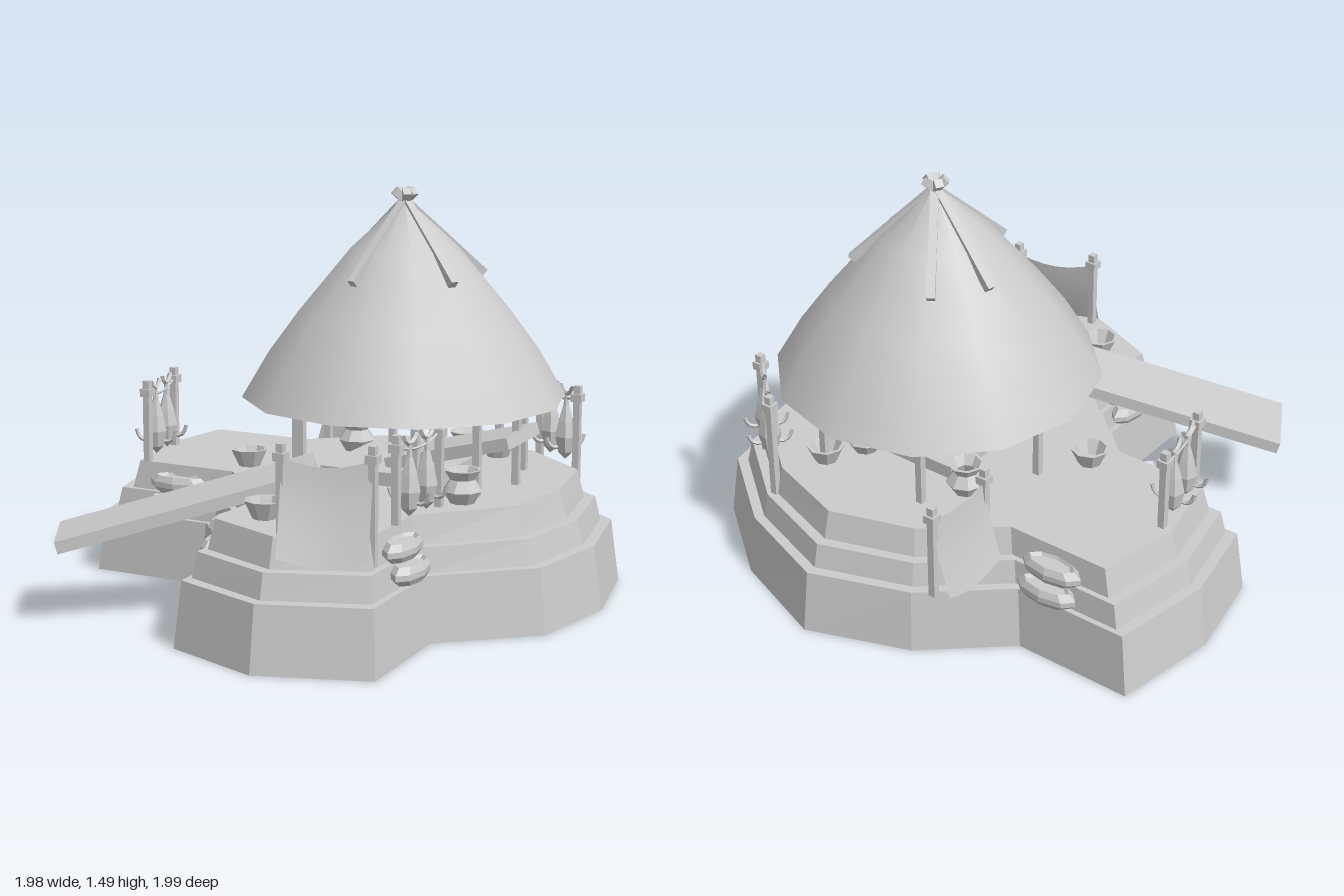
import * as THREE from 'three';

const CX = 0.2, CZ = -0.21, DECK = 0.43;
const mat = new THREE.MeshStandardMaterial({ color: 0xcccccc, flatShading: true, side: THREE.DoubleSide });
const smooth = new THREE.MeshStandardMaterial({ color: 0xcccccc, side: THREE.DoubleSide });
const V = (x, y, z) => new THREE.Vector3(x, y, z);

function add(parent, name, geo, material = mat) {
  const m = new THREE.Mesh(geo, material);
  m.name = name;
  parent.add(m);
  return m;
}

function group(parent, name) {
  const g = new THREE.Group();
  g.name = name;
  parent.add(g);
  return g;
}

// square bar between two points
function bar(parent, name, a, b, w, d = w) {
  const m = add(parent, name, new THREE.BoxGeometry(w, d, a.distanceTo(b)));
  m.position.copy(a).add(b).multiplyScalar(0.5);
  m.lookAt(b);
  return m;
}

function lathe(parent, name, pts, sides) {
  return add(parent, name, new THREE.LatheGeometry(pts.map(p => new THREE.Vector2(...p)), sides));
}

// platform outline around the hut centre, at the ground and at the deck
const GROUND = [[0, -0.79], [0.39, -0.65], [0.715, -0.4], [0.79, 0], [0.715, 0.365], [0.395, 0.63], [0.395, 1.07], [0, 1.2],
  [-0.365, 1.07], [-0.365, 0.63], [-0.67, 0.365], [-1.12, 0.365], [-1.19, 0], [-1.12, -0.4], [-0.67, -0.4], [-0.38, -0.65]];
const TOP = [[0, -0.63], [0.31, -0.53], [0.57, -0.32], [0.62, 0], [0.57, 0.29], [0.295, 0.57], [0.295, 0.91], [0, 1.03],
  [-0.29, 0.91], [-0.29, 0.57], [-0.57, 0.29], [-0.97, 0.29], [-1.03, 0], [-0.97, -0.32], [-0.57, -0.32], [-0.31, -0.53]];
const outline = t => GROUND.map((p, i) => [CX + p[0] + (TOP[i][0] - p[0]) * t, CZ + p[1] + (TOP[i][1] - p[1]) * t]);

// one sloped step: wall strip plus a flat cap
function tier(parent, name, t0, y0, t1, y1) {
  const g = group(parent, name), a = outline(t0), b = outline(t1), n = a.length, pos = [], idx = [];
  for (let i = 0; i < n; i++) {
    pos.push(a[i][0], y0, a[i][1], b[i][0], y1, b[i][1]);
    const j = (i + 1) % n;
    idx.push(2 * i, 2 * i + 1, 2 * j, 2 * j, 2 * i + 1, 2 * j + 1);
  }
  const wall = new THREE.BufferGeometry();
  wall.setAttribute('position', new THREE.Float32BufferAttribute(pos, 3));
  wall.setIndex(idx);
  wall.computeVertexNormals();
  add(g, 'stepWall', wall);
  const cap = new THREE.ShapeGeometry(new THREE.Shape(b.map(p => new THREE.Vector2(p[0], -p[1]))));
  add(g, 'stepTop', cap.rotateX(-Math.PI / 2).translate(0, y1, 0));
}

// post with a collar near its top
function post(parent, x, z, y0, y1) {
  bar(parent, 'post', V(x, y0, z), V(x, y1, z), 0.026);
  const c = add(parent, 'postCollar', new THREE.BoxGeometry(0.042, 0.03, 0.042));
  c.position.set(x, y1 - 0.045, z);
}

// sagging rope
function rope(parent, a, b, sag) {
  const mid = a.clone().lerp(b, 0.5);
  mid.y -= sag * 2;
  add(parent, 'rope', new THREE.TubeGeometry(new THREE.QuadraticBezierCurve3(a, mid, b), 8, 0.005, 4));
}

// fish hung by the tail, tail fin in its local xy plane
function fish(parent, x, y, z, turn) {
  const g = group(parent, 'hangingFish');
  lathe(g, 'fishBody', [[0, -0.25], [0.03, -0.22], [0.043, -0.16], [0.03, -0.1], [0.012, -0.04], [0.007, 0.01]], 6);
  const tail = add(g, 'fishTail', new THREE.TorusGeometry(0.045, 0.009, 4, 6, Math.PI * 0.8));
  tail.rotation.z = Math.PI * 1.1;
  tail.position.y = 0.05;
  for (const s of [-1, 1]) {
    const fin = add(g, 'fishFin', new THREE.TubeGeometry(new THREE.QuadraticBezierCurve3(
      V(0, -0.2, s * 0.03), V(0, -0.21, s * 0.07), V(0, -0.16, s * 0.08)), 4, 0.008, 4));
    fin.scale.x = 0.7;
  }
  g.position.set(x, y, z);
  g.rotation.y = turn;
}

function rack(parent, a, b, y0) {
  const g = group(parent, 'fishRack');
  post(g, ...a, y0, 0.74);
  post(g, ...b, y0, 0.74);
  rope(g, V(a[0], 0.7, a[1]), V(b[0], 0.7, b[1]), 0.03);
  const turn = -Math.atan2(b[1] - a[1], b[0] - a[0]);
  for (const t of [0.3, 0.7])
    fish(g, a[0] + (b[0] - a[0]) * t, 0.69, a[1] + (b[1] - a[1]) * t, turn);
}

// cloth between two posts, swinging outwards toward its hem
function cloth(parent, a, b, out, y0, yTop, yHem) {
  const g = group(parent, 'clothScreen');
  post(g, ...a, y0, yTop + 0.05);
  post(g, ...b, y0, yTop + 0.05);
  const geo = new THREE.PlaneGeometry(1, 1, 6, 5), p = geo.attributes.position;
  for (let i = 0; i < p.count; i++) {
    const u = p.getX(i) + 0.5, v = 0.5 - p.getY(i), s = Math.sin(Math.PI * u), k = Math.pow(v, 1.4);
    p.setXYZ(i, a[0] + (b[0] - a[0]) * u + out[0] * k, yTop + (yHem - yTop) * v - 0.03 * s,
      a[1] + (b[1] - a[1]) * u + out[1] * k);
  }
  geo.computeVertexNormals();
  add(g, 'cloth', geo, smooth);
}

// two stacked oval bundles leaning on the steps
function bundles(parent, x, z, outX, outZ) {
  const g = group(parent, 'ovalBundles');
  for (const [y, o] of [[0.29, 0.015], [0.365, -0.015]]) {
    const m = lathe(g, 'ovalBundle', [[0, -0.035], [0.09, -0.033], [0.122, -0.01], [0.122, 0.01], [0.095, 0.033], [0.08, 0.022], [0, 0.022]], 8);
    m.position.set(x + outX * o, y, z + outZ * o);
    m.scale.set(outX ? 0.42 : 1, 1, outZ ? 0.42 : 1);
  }
}

const BOWL = [[0, 0], [0.042, 0], [0.072, 0.065], [0.06, 0.065], [0.036, 0.012], [0, 0.012]];
const POT = [[0, 0], [0.045, 0], [0.072, 0.045], [0.045, 0.085], [0.068, 0.12], [0.056, 0.12], [0.034, 0.085], [0.05, 0.045], [0, 0.015]];

export function createModel() {
  const root = new THREE.Group();
  root.name = 'thatchedHut';

  // stepped platform
  const base = group(root, 'platform');
  tier(base, 'lowerStep', 0, 0, 0.2, 0.235);
  tier(base, 'middleStep', 0.45, 0.235, 0.58, 0.325);
  tier(base, 'upperStep', 0.83, 0.325, 1, DECK);

  // roof and the poles crossing at its peak
  const roof = lathe(root, 'roof', [[0.6, 0.72], [0.5, 0.89], [0.39, 1.04], [0.2, 1.27], [0.005, 1.45]], 12);
  roof.material = smooth;
  roof.position.set(CX, 0, CZ);
  const poles = group(root, 'roofPoles');
  for (const deg of [30, 104, 193, 235, 322]) {
    const c = Math.cos(deg * Math.PI / 180), s = Math.sin(deg * Math.PI / 180);
    bar(poles, 'roofPole', V(CX + 0.3 * c, 1.17, CZ + 0.3 * s), V(CX - 0.04 * c, 1.48, CZ - 0.04 * s), 0.03);
  }

  // posts under the eaves
  const posts = group(root, 'roofPosts');
  for (const deg of [0, 30, 60, 120, 180, 240, 300, 330]) {
    const a = deg * Math.PI / 180, x = CX + 0.45 * Math.cos(a), z = CZ + 0.45 * Math.sin(a);
    bar(posts, 'roofPost', V(x, DECK, z), V(x, 0.8, z), 0.026);
  }

  // planks and floor slab
  bar(root, 'rampPlank', V(-0.7, 0.297, 0.745), V(0.095, 0.542, 0.3), 0.286, 0.045);
  bar(root, 'innerPlank', V(0.2, 0.49, -0.2), V(0.68, 0.615, -0.2), 0.3, 0.045);
  add(root, 'floorSlab', new THREE.BoxGeometry(0.45, 0.05, 0.46)).position.set(CX, DECK + 0.025, -0.2);

  // fish racks and cloth screens
  rack(root, [-0.79, -0.21], [-0.74, 0.07], DECK);
  rack(root, [0.53, -0.76], [0.75, -0.57], 0.325);
  rack(root, [0.53, 0.21], [0.5, 0.5], DECK);
  cloth(root, [0.21, 0.78], [0.5, 0.68], [0.025, 0.09], DECK - 0.1, 0.69, 0.37);
  cloth(root, [-0.31, -0.885], [-0.31, -0.6], [-0.07, 0], 0.325, 0.64, 0.34);

  // bundles beside both arms of the platform
  bundles(root, -0.58, 0.13, 0, 1);
  bundles(root, -0.58, -0.59, 0, -1);
  bundles(root, 0.56, 0.54, 1, 0);
  bundles(root, -0.14, 0.54, -1, 0);

  // bowls and pots
  for (const [x, z] of [[0.06, 0.62], [-0.36, -0.04], [0.42, -0.6]])
    lathe(root, 'bowl', BOWL, 8).position.set(x, DECK, z);
  for (const [x, z] of [[0.58, 0.12], [0.35, -0.46], [-0.11, -0.45]])
    lathe(root, 'pot', POT, 8).position.set(x, DECK, z);

  return root;
}
